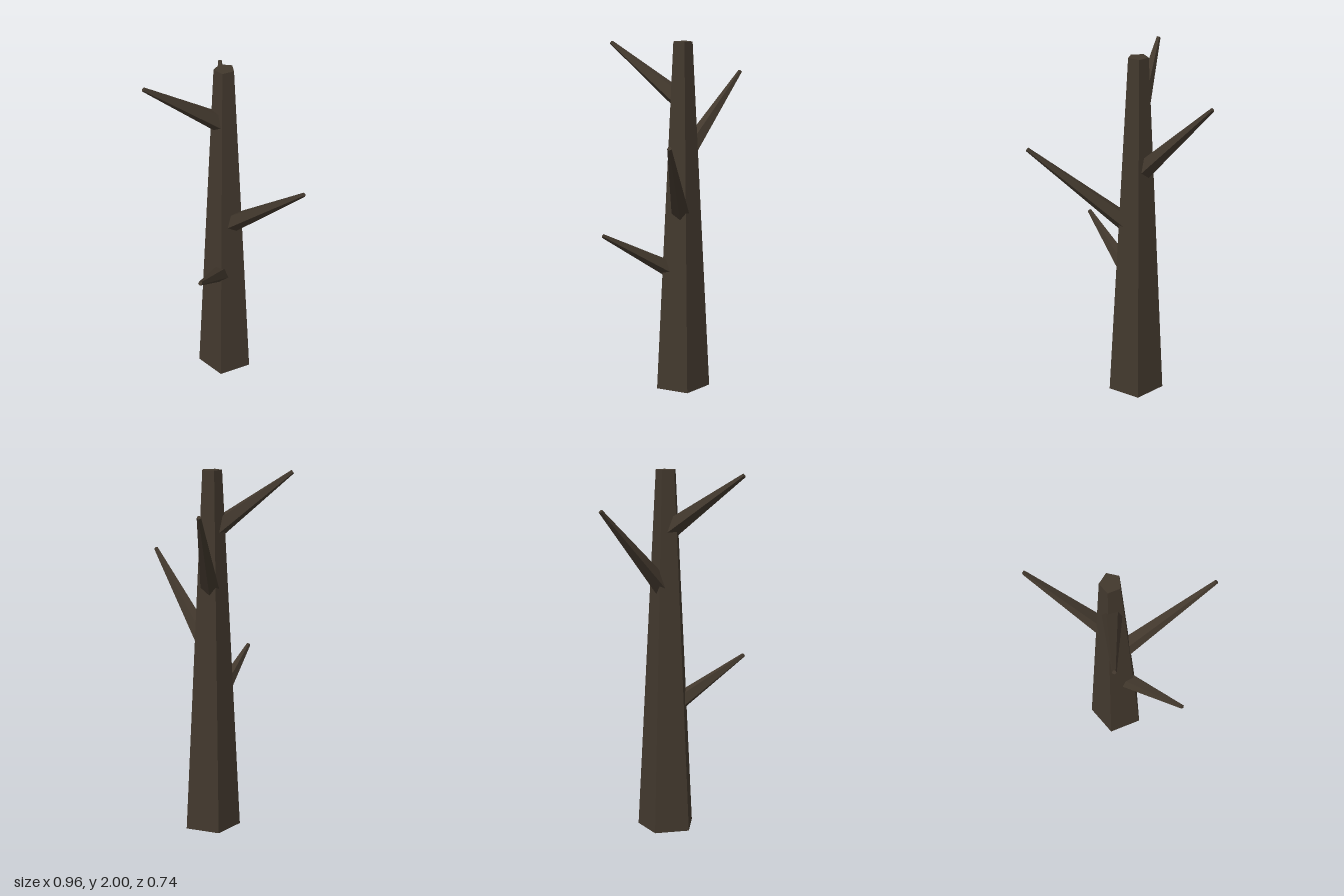
import * as THREE from 'three';

export function createModel() {
  const group = new THREE.Group();
  const bark = new THREE.MeshStandardMaterial({ color: 0x42382d, flatShading: true });
  bark.name = 'dark bark';
  const axisX = -0.12, axisZ = -0.063;

  // Tapered five-sided trunk, flat side to the front
  const trunkGeometry = new THREE.CylinderGeometry(0.057, 0.164, 2, 5);
  trunkGeometry.rotateY(Math.PI);
  const trunk = new THREE.Mesh(trunkGeometry, bark);
  trunk.name = 'trunk';
  trunk.position.set(axisX, 1, axisZ);
  group.add(trunk);

  // Bare branches growing from the trunk axis: start height and tip
  const branches = [
    ['lowerFrontBranch', 0.667, [0.12, 0.942, 0.352]],
    ['leftBranch', 1.0, [0.473, 1.5, -0.062]],
    ['backRightBranch', 1.333, [-0.473, 1.805, -0.364]],
    ['upperFrontBranch', 1.667, [-0.273, 1.98, 0.36]],
  ];
  for (const [name, height, tip] of branches) {
    const start = new THREE.Vector3(axisX, height, axisZ);
    const end = new THREE.Vector3(...tip);
    const length = start.distanceTo(end);
    const geometry = new THREE.CylinderGeometry(0.012, 0.058, length, 5);
    geometry.translate(0, length / 2, 0);
    geometry.rotateX(Math.PI / 2); // grow along +z, ridge underneath
    const branch = new THREE.Mesh(geometry, bark);
    branch.name = name;
    branch.position.copy(start);
    branch.lookAt(end);
    group.add(branch);
  }
  return group;
}
